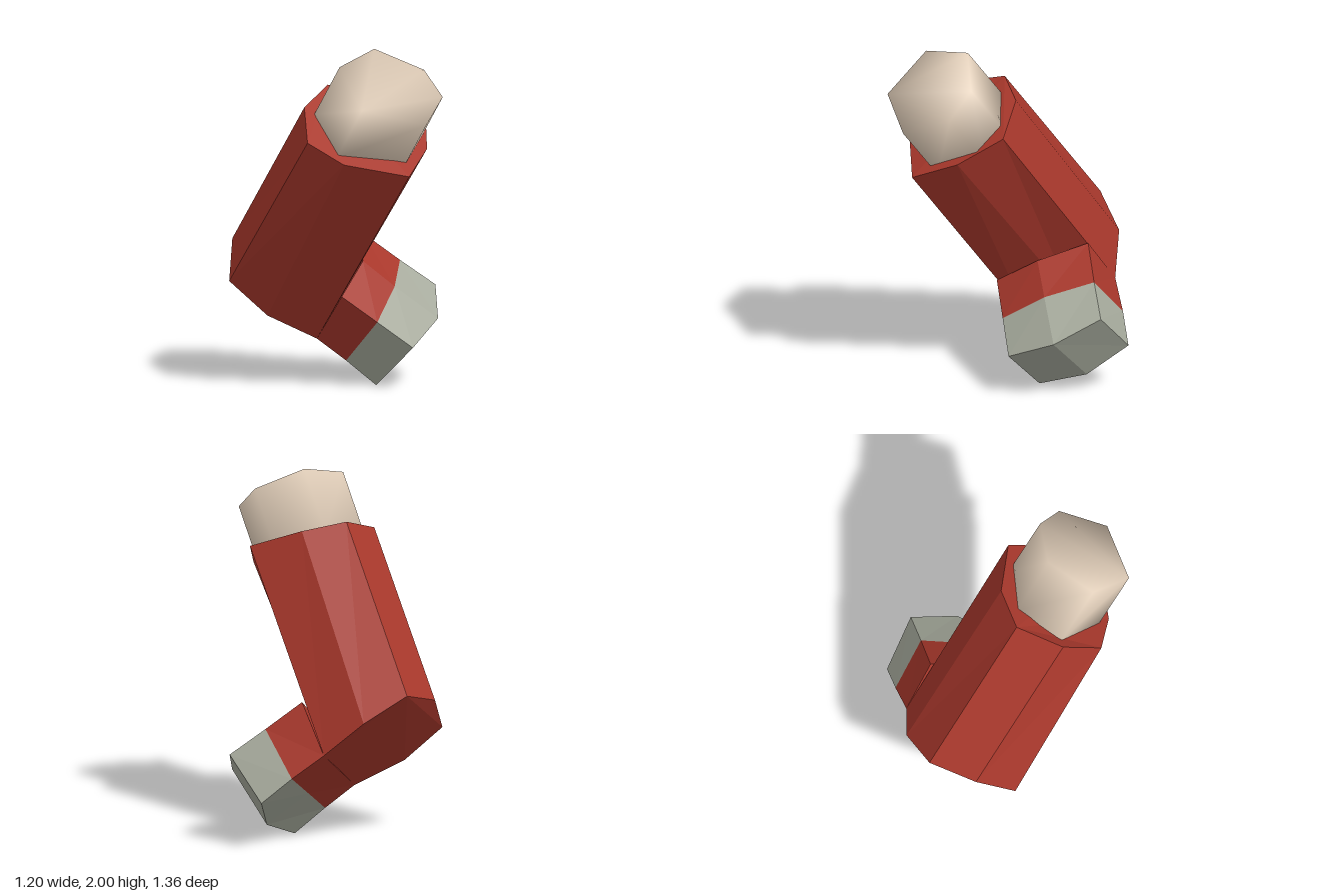
import * as THREE from 'three';

// Closed solid lofted through rings of corners; each ring runs
// anticlockwise as seen from the end of the loft.
function loft(name, color, rings, flatShading = true) {
  const n = rings[0].length;
  const last = (rings.length - 1) * n;
  const index = [];
  for (let r = 0; r < last; r += n) {
    for (let i = 0; i < n; i++) {
      const a = r + i, b = r + (i + 1) % n;
      index.push(a, b, b + n, a, b + n, a + n);
    }
  }
  for (let i = 1; i < n - 1; i++) {
    index.push(0, i + 1, i, last, last + i, last + i + 1);
  }
  const geometry = new THREE.BufferGeometry();
  geometry.setAttribute('position', new THREE.Float32BufferAttribute(rings.flat(2), 3));
  geometry.setIndex(index);
  geometry.computeVertexNormals();
  const mesh = new THREE.Mesh(geometry, new THREE.MeshStandardMaterial({ color, flatShading }));
  mesh.name = name;
  return mesh;
}

export function createModel() {
  const group = new THREE.Group();
  group.name = 'inhaler';
  const red = 0xa9382c, grey = 0xa8ac9e, cream = 0xe3d0bb;

  // Leaning eight-sided sleeve
  const sleeveFoot = [
    [-0.385, 0.88, -0.625], [-0.55, 0.81, -0.405], [-0.60, 0.61, -0.19], [-0.39, 0.415, -0.15],
    [-0.11, 0.275, -0.15], [0.0, 0.41, -0.38], [0.08, 0.54, -0.61], [-0.14, 0.735, -0.68],
  ];
  const sleeveRim = [
    [-0.07, 1.75, -0.01], [-0.235, 1.67, 0.21], [-0.25, 1.51, 0.43], [-0.06, 1.40, 0.535],
    [0.30, 1.335, 0.60], [0.435, 1.445, 0.37], [0.465, 1.59, 0.115], [0.18, 1.70, -0.02],
  ];
  group.add(loft('sleeve', red, [sleeveFoot, sleeveRim]));

  // Elbow leaving the sleeve, then the mouthpiece cover
  const elbowRoot = [
    [0.15, 0.71, -0.15], [0.0, 0.55, 0.05], [-0.11, 0.275, -0.15],
    [-0.015, 0.408, -0.38], [0.08, 0.54, -0.61], [0.195, 0.81, -0.43],
  ];
  const seam = [
    [0.33, 0.56, -0.15], [0.20, 0.40, 0.06], [0.055, 0.145, -0.15],
    [0.157, 0.277, -0.38], [0.26, 0.41, -0.615], [0.40, 0.655, -0.42],
  ];
  const mouthEnd = [
    [0.575, 0.37, -0.15], [0.40, 0.25, 0.07], [0.225, 0, -0.145],
    [0.39, 0.10, -0.38], [0.43, 0.27, -0.61], [0.60, 0.51, -0.415],
  ];
  group.add(loft('elbow', red, [elbowRoot, seam]));
  group.add(loft('mouthpieceCover', grey, [seam, mouthEnd]));

  // Six-sided, smooth-shaded canister pushed into the sleeve along its axis
  const canisterTop = [
    [0.02, 1.735, 0.68], [0.385, 1.64, 0.67], [0.515, 1.75, 0.43],
    [0.43, 1.88, 0.29], [0.155, 2.0, 0.25], [-0.07, 1.94, 0.44],
  ];
  const drop = [0.11, 0.31, 0.222];
  const canisterFoot = canisterTop.map((p) => p.map((v, k) => v - drop[k]));
  group.add(loft('canister', cream, [canisterFoot, canisterTop], false));

  return group;
}
